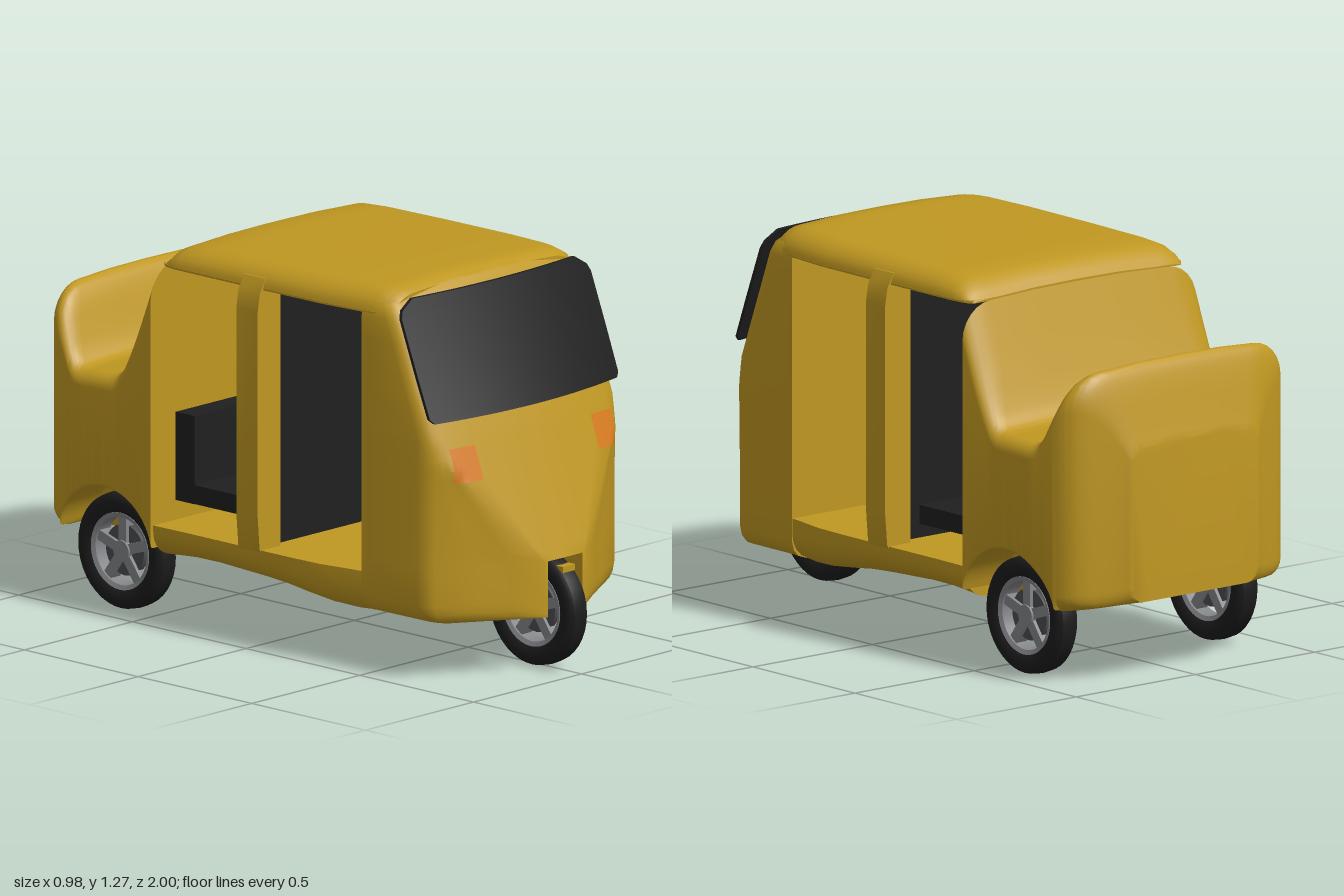
import * as THREE from 'three';
import { toCreasedNormals } from 'three/addons/utils/BufferGeometryUtils.js';

const mat = (name, color, side = THREE.FrontSide) => {
  const m = new THREE.MeshStandardMaterial({ color, side });
  m.name = name;
  return m;
};

// Piecewise-linear lookup in rows [key, a, b, ...] sorted by key
function sample(rows, k) {
  for (let i = 0; i < rows.length - 1; i++) {
    const [p, q] = [rows[i], rows[i + 1]];
    const t = (k - p[0]) / (q[0] - p[0]);
    if (t >= -1e-6 && t <= 1 + 1e-6) return p.map((v, j) => v + (q[j] - v) * t).slice(1);
  }
  return rows[rows.length - 1].slice(1);
}

// Skin a row of equal-length rings, cap both ends on the plane given by 'axis'
function loft(rings, axis, crease = 0.6) {
  const n = rings[0].length, idx = [];
  const pos = rings.flat().flatMap((p) => [p.x, p.y, p.z]);
  for (let r = 0; r < rings.length - 1; r++)
    for (let i = 0; i < n; i++) {
      const a = r * n + i, b = r * n + ((i + 1) % n);
      idx.push(a, a + n, b, b, a + n, b + n);
    }
  [0, rings.length - 1].forEach((r, end) => {
    const flat = rings[r].map((p) => new THREE.Vector2(p.x, axis === 'z' ? p.y : p.z));
    const flip = (axis === 'z') === (end === 0);
    for (const [a, b, c] of THREE.ShapeUtils.triangulateShape(flat, [])) {
      const o = r * n;
      if (flip) idx.push(o + a, o + b, o + c);
      else idx.push(o + a, o + c, o + b);
    }
  });
  const g = new THREE.BufferGeometry();
  g.setAttribute('position', new THREE.Float32BufferAttribute(pos, 3));
  g.setIndex(idx);
  return toCreasedNormals(g, crease);
}

// Rounded upright section at z; 'ya' lifts the outer underside for a wheel arch
function section(z, w, y0, y1, rb, rt, ya = y0) {
  const half = [], crown = rt ? 0.01 : 0, xi = Math.min(0.32, w * 0.7);
  half.push([0, y0], [xi, y0], [xi, ya]);
  const hb = Math.min(rb, (y1 - ya) * 0.8), ht = Math.min(rt, (y1 - ya) * 0.95);
  for (let i = 0; i <= 5; i++) {
    const a = (i / 5) * Math.PI / 2;
    half.push([w - rb + rb * Math.sin(a), ya + hb * (1 - Math.cos(a))]);
  }
  for (let i = 0; i <= 6; i++) {
    const a = (i / 6) * Math.PI / 2;
    half.push([w - rt + rt * Math.cos(a), y1 - crown - ht * (1 - Math.sin(a))]);
  }
  half.push([w * 0.4, y1 - crown * 0.2], [0, y1]);
  const mirrored = half.slice(1, -1).reverse().map(([x, y]) => [-x, y]);
  return [...half, ...mirrored].map(([x, y]) => new THREE.Vector3(x, y, z));
}

// Front of the cab: a gently bowed panel narrowing to the nose, falling back at both sides
const centreZ = (y) => sample([[0, 0.93], [0.37, 0.93], [0.86, 0.757], [1.2, 0.612], [1.25, 0.58], [1.27, 0.54]], y)[0];
const sideZ = (y) => sample([[0, 0.735], [0.8, 0.735], [1.2, 0.585], [1.27, 0.5]], y)[0];
const panelHalf = (y) => THREE.MathUtils.clamp(0.09 + (y - 0.37) * 0.85, 0.09, 0.37);
function frontZ(x, y) {
  const ax = Math.abs(x), c = centreZ(y), s = Math.min(sideZ(y), c - 0.02), f = panelHalf(y);
  const edge = c - Math.min(0.025, (c - s) * 0.6) * (f / 0.37) ** 2;
  if (ax <= f) return c + (edge - c) * (ax / f) ** 2;
  return edge + (s - edge) * Math.min(1, (ax - f) / (0.44 - f));
}

function noseRing(y, w, notched) {
  const k = w / 0.44, f = panelHalf(y), half = [];
  half.push([0, notched ? 0.6 : frontZ(0, y)], [0.08, notched ? 0.6 : frontZ(0.08, y)]);
  const xs = [0, 0.33, 0.66, 1].map((t) => 0.08 + (f - 0.08) * t);
  for (const t of [0.3, 0.6, 1]) xs.push(f + (0.415 - f) * t);
  for (const x of xs) half.push([x, frontZ(x, y)]);
  half.push([0.432, frontZ(0.432, y) - 0.015], [0.44, frontZ(0.44, y) - 0.04], [0.443, 0.48], [0.446, 0.457]);
  const pts = half.map(([x, z], i) => [i < 3 ? x : Math.max(x * k, 0.08), z]);
  const mirrored = pts.slice(1).reverse().map(([x, z]) => [-x, z]);
  return [...mirrored, ...pts].map(([x, z]) => new THREE.Vector3(x, y, z));
}

export function createModel() {
  const gold = mat('gold paint', 0xbf9721, THREE.DoubleSide);
  const black = mat('black glass and seat', 0x1f1f1f, THREE.DoubleSide);
  const rubber = mat('tyre rubber', 0x1c1c1d);
  const alloy = mat('grey alloy', 0x85868a);
  const steel = mat('dark steel', 0x4c4d50);
  const amber = mat('amber lamp', 0xd67b1e, THREE.DoubleSide);

  const model = new THREE.Group();
  model.name = 'threeWheeler';
  const add = (name, geo, m, parent = model, p = [0, 0, 0]) => {
    const mesh = new THREE.Mesh(geo, m);
    mesh.name = name;
    mesh.position.set(...p);
    parent.add(mesh);
    return mesh;
  };

  // Cab nose with the front wheel well: y, half width, notched
  const noseRows = [[0.188, 0.38, 1], [0.2, 0.415, 1], [0.22, 0.432, 1], [0.25, 0.44, 1], [0.372, 0.44, 1], [0.372, 0.44, 0]];
  for (let i = 1; i <= 12; i++) noseRows.push([0.372 + i * 0.036, 0.44, 0]);
  noseRows.push([0.95, 0.44, 0], [1.1, 0.44, 0], [1.17, 0.44, 0], [1.205, 0.432, 0], [1.23, 0.412, 0],
    [1.246, 0.385, 0], [1.256, 0.33, 0]);
  add('cabNose', loft(noseRows.map(([y, w, n]) => noseRing(y, w, n)), 'y', 0.7), gold);

  // Floor pan: z, half width, underside
  const floorRows = [[0.58, 0.42, 0.189], [0.46, 0.444, 0.184], [0.4, 0.452, 0.181], [0.3, 0.47, 0.188], [0.2, 0.474, 0.2],
    [0.1, 0.475, 0.213], [0, 0.475, 0.22], [-0.2, 0.475, 0.229], [-0.3, 0.475, 0.228], [-0.43, 0.478, 0.218]];
  add('floorPan', loft(floorRows.map(([z, w, y]) => section(z, w, y, 0.325, 0.09, 0)), 'z'), gold);

  // Roof: z, half width, top
  const roofRows = [[0.572, 0.415, 1.25], [0.55, 0.43, 1.264], [0.5, 0.441, 1.269], [0.45, 0.448, 1.27], [0.3, 0.462, 1.267],
    [0, 0.465, 1.264], [-0.25, 0.465, 1.26], [-0.34, 0.464, 1.254], [-0.38, 0.458, 1.24], [-0.405, 0.448, 1.215],
    [-0.42, 0.435, 1.194]];
  add('roof', loft(roofRows.map(([z, w, y]) => section(z, w, 1.185, y, 0, 0.1)), 'z'), gold);

  // Middle door pillars, deep towards the cabin
  const pillar = new THREE.Shape([[0.385, 0.3], [0.465, 0.3], [0.482, 0.33], [0.491, 0.44], [0.491, 1.11], [0.481, 1.17],
    [0.455, 1.215], [0.41, 1.235], [0.385, 1.22]].map(([x, y]) => new THREE.Vector2(x, y)));
  const pillarGeo = toCreasedNormals(new THREE.ExtrudeGeometry(pillar, { depth: 0.094, bevelEnabled: false }), 0.6);
  const mirroredPillarGeo = pillarGeo.clone().rotateY(Math.PI).translate(0, 0, 0.094);
  add('leftPillar', pillarGeo, gold, model, [0, 0, -0.052]);
  add('rightPillar', mirroredPillarGeo, gold, model, [0, 0, -0.052]);

  // Rear body with wheel arches: z, half width, underside, top, corner radius
  const rearRows = [[-0.43, 0.49, 0.22, 1.19, 0.12], [-0.5, 0.491, 0.225, 1.0, 0.11], [-0.55, 0.491, 0.23, 0.87, 0.08],
    [-0.58, 0.491, 0.233, 0.812, 0.06], [-0.61, 0.491, 0.235, 0.797, 0.05], [-0.76, 0.487, 0.24, 0.79, 0.05],
    [-0.79, 0.482, 0.24, 0.812, 0.06], [-0.83, 0.473, 0.24, 0.905, 0.08], [-0.865, 0.463, 0.245, 0.998, 0.11],
    [-0.895, 0.448, 0.25, 1.03, 0.12], [-0.925, 0.42, 0.255, 1.036, 0.12], [-0.945, 0.38, 0.258, 1.005, 0.11],
    [-0.965, 0.325, 0.262, 0.92, 0.08], [-0.98, 0.295, 0.265, 0.855, 0.06], [-1, 0.265, 0.268, 0.78, 0.05]];
  const rings = [];
  for (let i = 0; i <= 95; i++) {
    const z = -0.43 - 0.006 * i;
    // Average neighbouring samples so the profile flows smoothly
    const reach = Math.min(0.018, -0.43 - z, z + 1);
    const near = [-1, -0.5, 0, 0.5, 1].map((t) => sample(rearRows, z + t * reach));
    const [w, y0, y1, rt] = near[0].map((_, j) => near.reduce((sum, row) => sum + row[j] / 5, 0));
    const d = 0.216 ** 2 - (z + 0.64) ** 2;
    const ya = Math.max(y0, d > 0 ? 0.2 + Math.sqrt(d) : 0);
    rings.push(section(z, w, y0, y1, ya > y0 ? 0.012 : 0.05, rt, ya));
  }
  add('rearBody', loft(rings, 'z', 0.75), gold);

  // Curved windscreen standing proud of the cab
  const paneRing = (y, w) => {
    const front = [], back = [];
    for (let i = -8; i <= 8; i++) {
      const x = (i / 8) * w;
      const z = 0.8 - (y - 0.86) * 0.43 - (0.05 - (y - 0.86) * 0.04) * (x / 0.44) ** 2;
      front.push(new THREE.Vector3(x, y, z));
      back.unshift(new THREE.Vector3(x, y, z - 0.012));
    }
    return [...front, ...back];
  };
  const paneRows = [[0.855, 0.42], [0.87, 0.435], [1.0, 0.437], [1.18, 0.437], [1.205, 0.425], [1.236, 0.375]];
  add('windscreen', loft(paneRows.map(([y, w]) => paneRing(y, w)), 'y'), black);

  // Amber lamps laid on the front panel
  for (const s of [1, -1]) {
    const g = new THREE.PlaneGeometry(0.104, 0.108, 6, 4);
    const p = g.attributes.position;
    for (let i = 0; i < p.count; i++) {
      const x = p.getX(i) + s * 0.32, y = p.getY(i) + 0.712;
      p.setXYZ(i, x, y, frontZ(x, y) + 0.008);
    }
    g.computeVertexNormals();
    add(s > 0 ? 'leftLamp' : 'rightLamp', g, amber);
  }

  // Passenger bench and partition behind the driver
  const box = (x, y, z) => new THREE.BoxGeometry(x, y, z);
  add('seatCushion', box(0.76, 0.062, 0.33), black, model, [0, 0.424, -0.257]);
  add('seatBack', box(0.76, 0.29, 0.082), black, model, [0, 0.537, -0.383]);
  add('partition', box(0.775, 0.862, 0.03), black, model, [0, 0.755, 0]);

  // Wheels
  const lathe = (pts) => toCreasedNormals(
    new THREE.LatheGeometry(pts.map(([r, x]) => new THREE.Vector2(r, x)), 40).rotateZ(Math.PI / 2), 0.6);
  const tyreGeo = lathe([[0.122, -0.028], [0.135, -0.037], [0.16, -0.042], [0.178, -0.038], [0.188, -0.028], [0.191, 0],
    [0.188, 0.028], [0.178, 0.038], [0.16, 0.042], [0.135, 0.037], [0.122, 0.028], [0.122, -0.028]]);
  const rimGeo = lathe([[0.112, -0.028], [0.127, -0.034], [0.127, 0.034], [0.112, 0.028], [0.112, -0.028]]);
  const disc = (r, w) => new THREE.CylinderGeometry(r, r, w, 24).rotateZ(Math.PI / 2);
  const wheel = (name, x, z) => {
    const g = new THREE.Group();
    g.name = name;
    g.position.set(x, 0.191, z);
    model.add(g);
    add('tyre', tyreGeo, rubber, g);
    add('rim', rimGeo, alloy, g);
    add('hub', disc(0.034, 0.058), alloy, g);
    add('brakeDisc', disc(0.084, 0.02), steel, g);
    for (let i = 0; i < 5; i++)
      add('spoke', box(0.044, 0.1, 0.034).translate(0, 0.068, 0), alloy, g).rotation.x = (i * Math.PI * 2) / 5;
  };
  wheel('frontWheel', 0, 0.809);
  wheel('leftRearWheel', 0.378, -0.64);
  wheel('rightRearWheel', -0.378, -0.64);

  // Small guard over the front wheel
  add('frontGuard', box(0.056, 0.02, 0.03), gold, model, [0, 0.337, 0.93]);
  return model;
}
